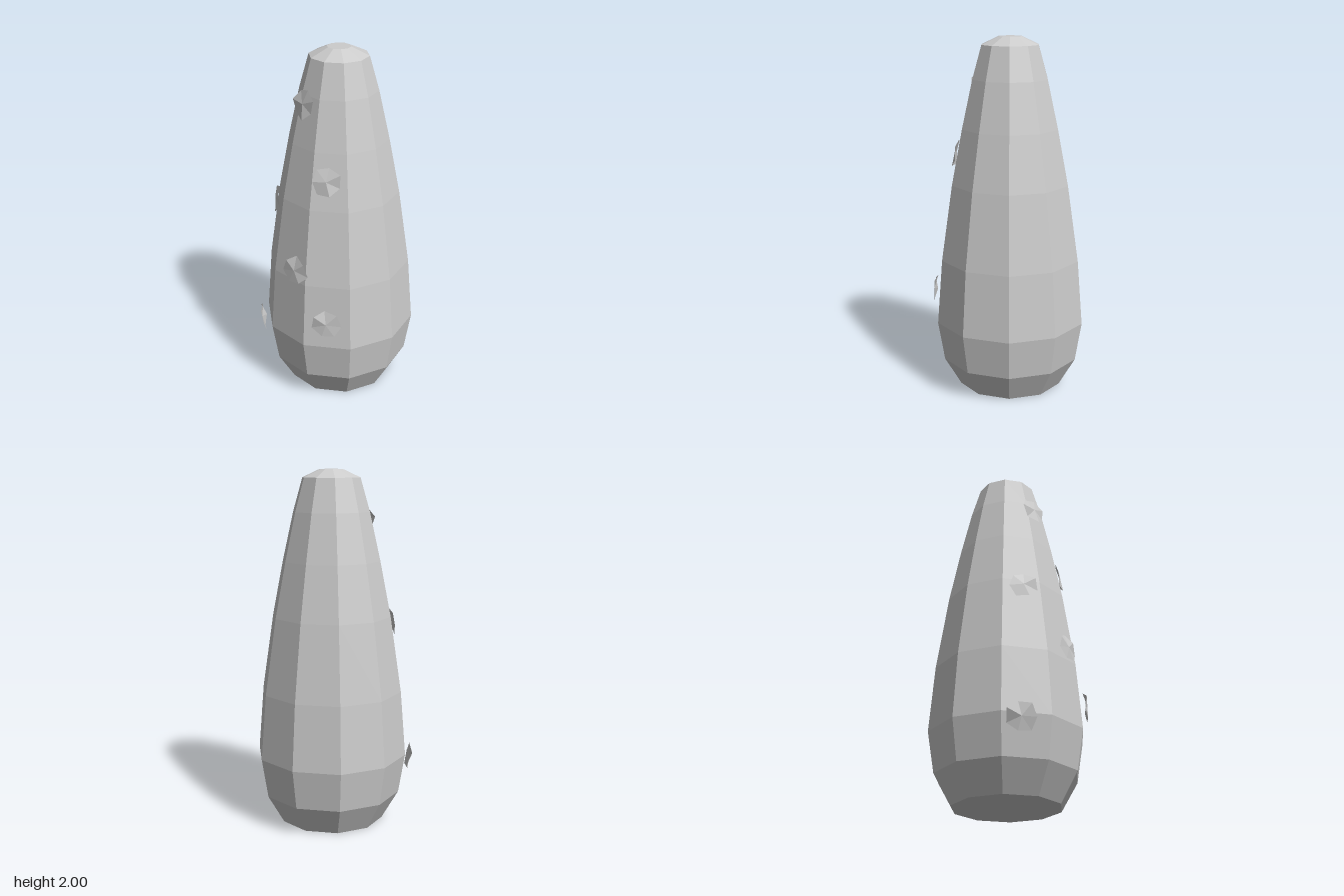
import * as THREE from 'three';

const material = new THREE.MeshStandardMaterial({ color: 0xcccccc, flatShading: true });
const flakeMaterial = new THREE.MeshStandardMaterial({
  color: 0xcccccc, flatShading: true, side: THREE.DoubleSide,
});

// Radius and height of the ten-sided trunk, bottom to top
const PROFILE = [
  [0, 0], [0.3, 0], [0.395, 0.165], [0.432, 0.39], [0.402, 0.76],
  [0.338, 1.19], [0.277, 1.5], [0.216, 1.77], [0.163, 1.955], [0.065, 2], [0, 2],
];

// Centre of each flake
const FLAKES = [
  [-0.34, 0.355, -0.295], [-0.35, 0.555, 0.255], [-0.388, 0.83, 0.05],
  [-0.285, 1.15, -0.2], [-0.255, 1.355, 0.165], [-0.23, 1.73, -0.03],
];

// Thin seven-sided chip with an uneven rim and a slightly raised middle
function flakeGeometry(seed) {
  const geometry = new THREE.CircleGeometry(0.083, 7);
  const p = geometry.attributes.position;
  p.setZ(0, 0.009);
  for (let i = 1; i < p.count; i++) {
    const k = (i - 1) % 7;
    const s = 1 + 0.08 * Math.sin(k * 2.3 + seed);
    p.setXYZ(i, p.getX(i) * s * 0.97, p.getY(i) * s, 0.009 * Math.sin(k * 2.7 + seed * 1.7));
  }
  return geometry;
}

// Upward lean of the trunk surface at a given height
function leanAt(y) {
  const i = PROFILE.findIndex(([, h]) => h > y);
  const [r0, y0] = PROFILE[i - 1];
  const [r1, y1] = PROFILE[i];
  return Math.atan2(r0 - r1, y1 - y0);
}

export function createModel() {
  const model = new THREE.Group();
  model.name = 'taperedTrunk';

  const trunk = new THREE.Mesh(
    new THREE.LatheGeometry(PROFILE.map(([r, y]) => new THREE.Vector2(r, y)), 10), material);
  trunk.name = 'trunk';
  model.add(trunk);

  // Flakes lie along the trunk surface, facing outward
  const flakes = new THREE.Group();
  flakes.name = 'surfaceFlakes';
  FLAKES.forEach(([x, y, z], i) => {
    const flake = new THREE.Mesh(flakeGeometry(i * 1.3), flakeMaterial);
    flake.name = `flake${i + 1}`;
    flake.position.set(x, y, z);
    flake.rotation.set(-leanAt(y), Math.atan2(x, z), i * 0.8, 'YXZ');
    flakes.add(flake);
  });
  model.add(flakes);
  return model;
}
